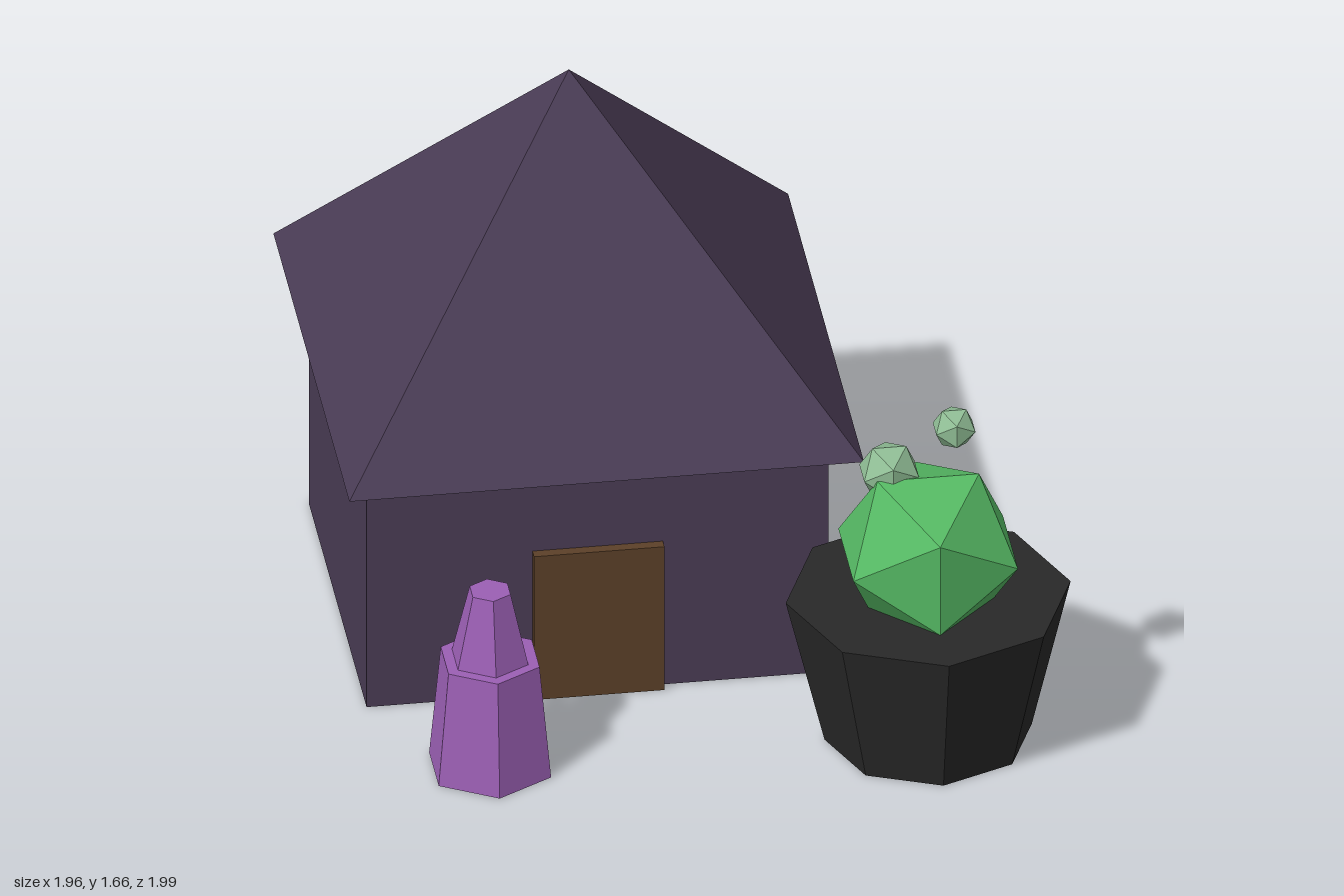
import * as THREE from 'three';

const mat = (name, color) => {
  const m = new THREE.MeshStandardMaterial({ color, flatShading: true });
  m.name = name;
  return m;
};

export function createModel() {
  const model = new THREE.Group();
  model.name = 'cottageWithPlantPot';

  const plum = mat('plum', 0x4a3c55);
  const brown = mat('brown', 0x5c4028);
  const violet = mat('violet', 0x9b5fb4);
  const charcoal = mat('charcoal', 0x282828);
  const green = mat('green', 0x55b863);
  const paleGreen = mat('paleGreen', 0x8fbc94);

  const add = (name, geometry, material, x, y, z) => {
    const mesh = new THREE.Mesh(geometry, material);
    mesh.name = name;
    mesh.position.set(x, y, z);
    model.add(mesh);
    return mesh;
  };

  // Tapered prism standing on height y
  const taper = (name, rTop, rBottom, height, sides, material, x, y, z) =>
    add(name, new THREE.CylinderGeometry(rTop, rBottom, height, sides), material, x, y + height / 2, z);

  // House: walls, pyramid roof and door
  add('walls', new THREE.BoxGeometry(1.275, 0.766, 1.08), plum, -0.272, 0.383, -0.288);
  const roof = taper('roof', 0, 0.71 * Math.SQRT2, 0.89, 4, plum, -0.272, 0.766, -0.288);
  roof.geometry.rotateY(Math.PI / 4);
  add('door', new THREE.BoxGeometry(0.36, 0.458, 0.054), brown, -0.272, 0.229, 0.255);

  // Six-sided bottle: body and narrower neck
  taper('bottleBody', 0.145, 0.179, 0.345, 6, violet, -0.62, 0, 0.6);
  taper('bottleNeck', 0.06, 0.112, 0.213, 6, violet, -0.62, 0.345, 0.6);

  // Eight-sided pot with a bush and two drifting puffs
  taper('pot', 0.393, 0.286, 0.446, 8, charcoal, 0.588, 0, 0.603);
  add('bush', new THREE.IcosahedronGeometry(0.267), green, 0.588, 0.585, 0.603);
  add('lowerPuff', new THREE.IcosahedronGeometry(0.089), paleGreen, 0.49, 0.804, 0.54);
  add('upperPuff', new THREE.IcosahedronGeometry(0.0635), paleGreen, 0.65, 1.007, 0.668);

  return model;
}
